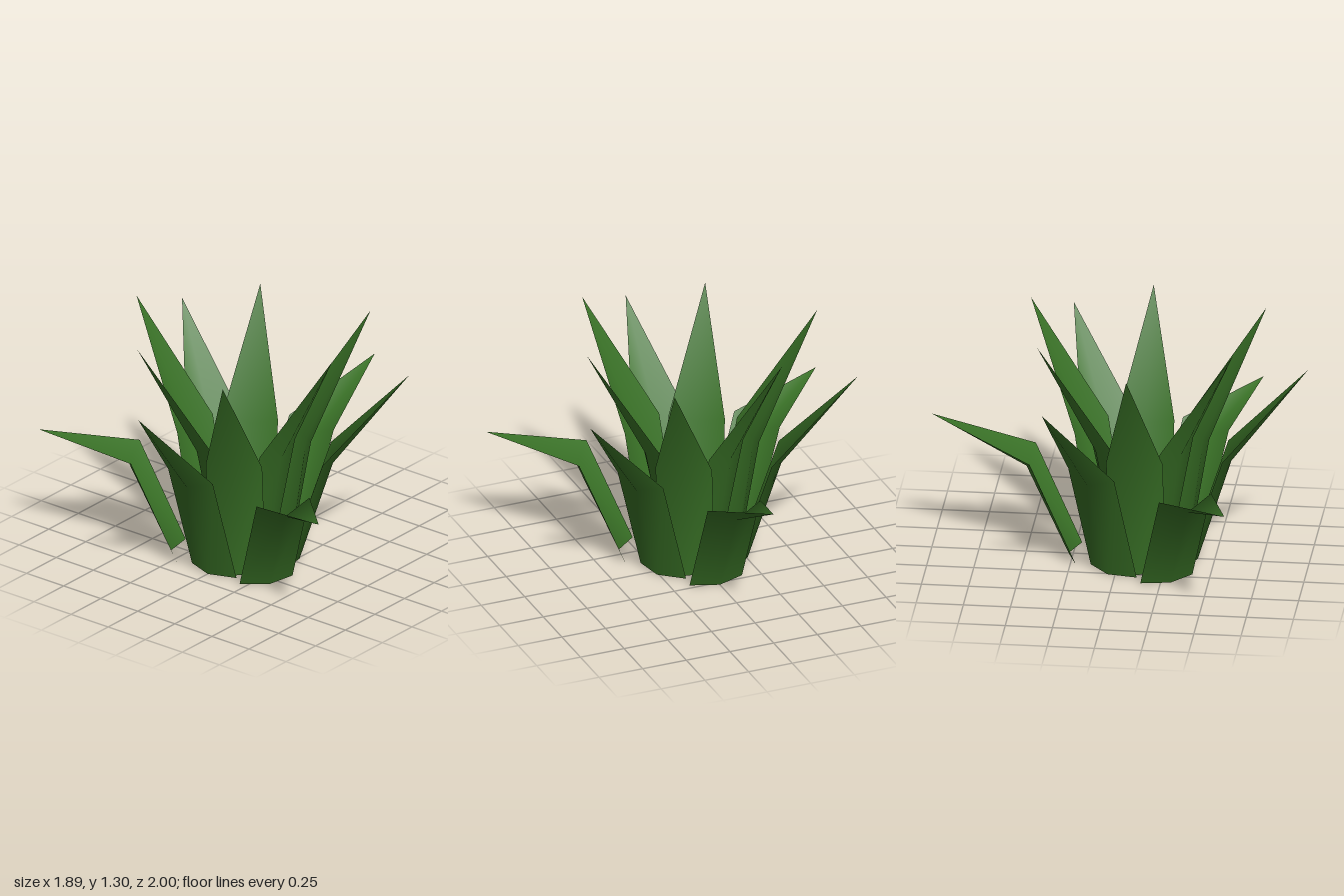
import * as THREE from 'three';

const HALF_WIDTH = 0.15;

// Leaf pointing along +z: curved base row, curved shoulder row, pointed tip.
// base / shoulder / tip are given as [radius, height]; the midrib bulges outward.
function leafGeometry({ base, shoulder, tip }) {
  const w = HALF_WIDTH;
  const positions = [
    -w, base[1], base[0], 0, base[1], base[0] + 0.055, w, base[1], base[0],
    -w, shoulder[1], shoulder[0], 0, shoulder[1] - shoulder[2], shoulder[0] + 0.033, w, shoulder[1], shoulder[0],
    0, tip[1], tip[0],
  ];
  const geometry = new THREE.BufferGeometry();
  geometry.setAttribute('position', new THREE.Float32BufferAttribute(positions, 3));
  geometry.setIndex([0, 1, 4, 0, 4, 3, 1, 2, 5, 1, 5, 4, 3, 4, 6, 4, 5, 6]);
  geometry.computeVertexNormals();
  return geometry;
}

export function createModel() {
  const leafGreen = new THREE.MeshStandardMaterial({ color: 0x3a7327, side: THREE.DoubleSide });
  leafGreen.name = 'leafGreen';

  // Rings of three leaves; angles are measured from +z towards +x.
  const rings = [
    { name: 'innerLeaf', angles: [90, 210, 330], base: [0.08, 0], shoulder: [0.23, 0.69, 0.04], tip: [0.6, 1.3] },
    { name: 'secondLeaf', angles: [30, 150, 270], base: [0.2, 0], shoulder: [0.325, 0.67, 0.05], tip: [0.72, 1.3] },
    { name: 'middleLeaf', angles: [0, 120, 240], base: [0.245, 0], shoulder: [0.445, 0.62, 0.05], tip: [0.885, 1.11] },
    { name: 'outerLeaf', angles: [60, 300], base: [0.33, 0], shoulder: [0.575, 0.56, 0.07], tip: [1.09, 0.655] },
    { name: 'backLeaf', angles: [180], base: [0.33, 0], shoulder: [0.575, 0.56, 0.07], tip: [1.11, 0.765] },
  ];

  const plant = new THREE.Group();
  plant.name = 'spikyPlant';
  for (const ring of rings) {
    const geometry = leafGeometry(ring);
    ring.angles.forEach((angle, i) => {
      const leaf = new THREE.Mesh(geometry, leafGreen);
      leaf.name = `${ring.name}${i + 1}`;
      leaf.rotation.y = THREE.MathUtils.degToRad(angle);
      leaf.position.z = 0.11; // rosette centre
      plant.add(leaf);
    });
  }
  return plant;
}
